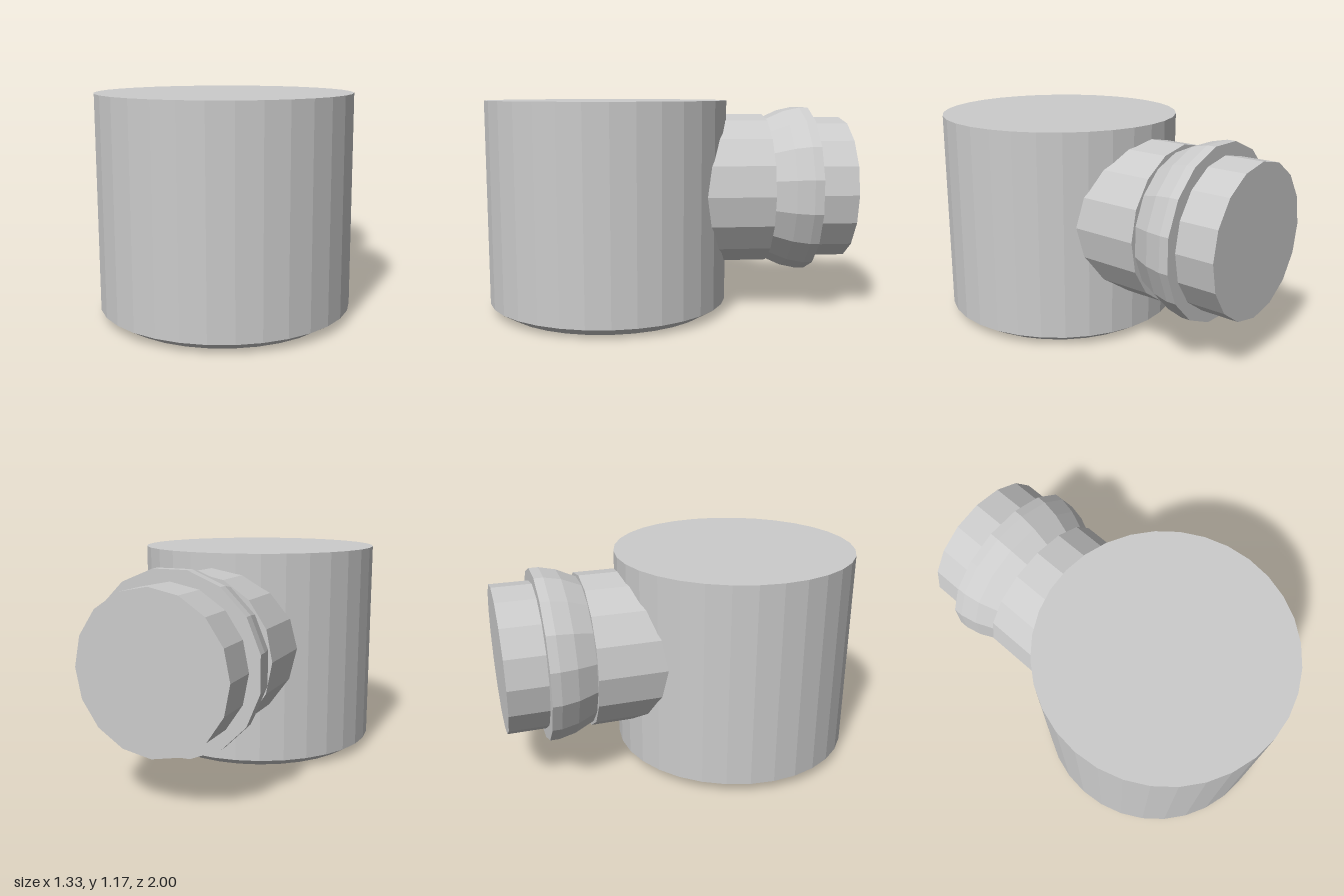
import * as THREE from 'three';

const material = new THREE.MeshStandardMaterial({ color: 0xcccccc, flatShading: true });

// Closed solid of revolution about y, from [radius, height] pairs, bottom to top
function turned(name, sides, profile) {
  const points = [
    [0, profile[0][1]], ...profile, [0, profile[profile.length - 1][1]],
  ].map(([r, h]) => new THREE.Vector2(r, h));
  const mesh = new THREE.Mesh(new THREE.LatheGeometry(points, sides), material);
  mesh.name = name;
  return mesh;
}

export function createModel() {
  const model = new THREE.Group();
  model.name = 'tankWithOutlet';

  // Upright drum with a chamfered foot
  const drum = turned('drum', 32, [[0.585, 0], [0.667, 0.05], [0.667, 1.167]]);
  drum.position.z = 0.333;
  model.add(drum);

  // Outlet on the back: heights along its axis run towards -z
  const outlet = new THREE.Group();
  outlet.name = 'outlet';
  outlet.position.y = 0.667;
  outlet.rotation.x = -Math.PI / 2;
  const neck = turned('neck', 16, [[0.422, 0], [0.422, 0.545]]);
  const collar = turned('collar', 16, [[0.4, 0.545], [0.448, 0.65], [0.468, 0.74], [0.468, 0.79]]);
  collar.rotation.y = Math.PI / 16;
  const endCap = turned('endCap', 16, [[0.402, 0.79], [0.402, 1]]);
  outlet.add(neck, collar, endCap);
  model.add(outlet);

  return model;
}
